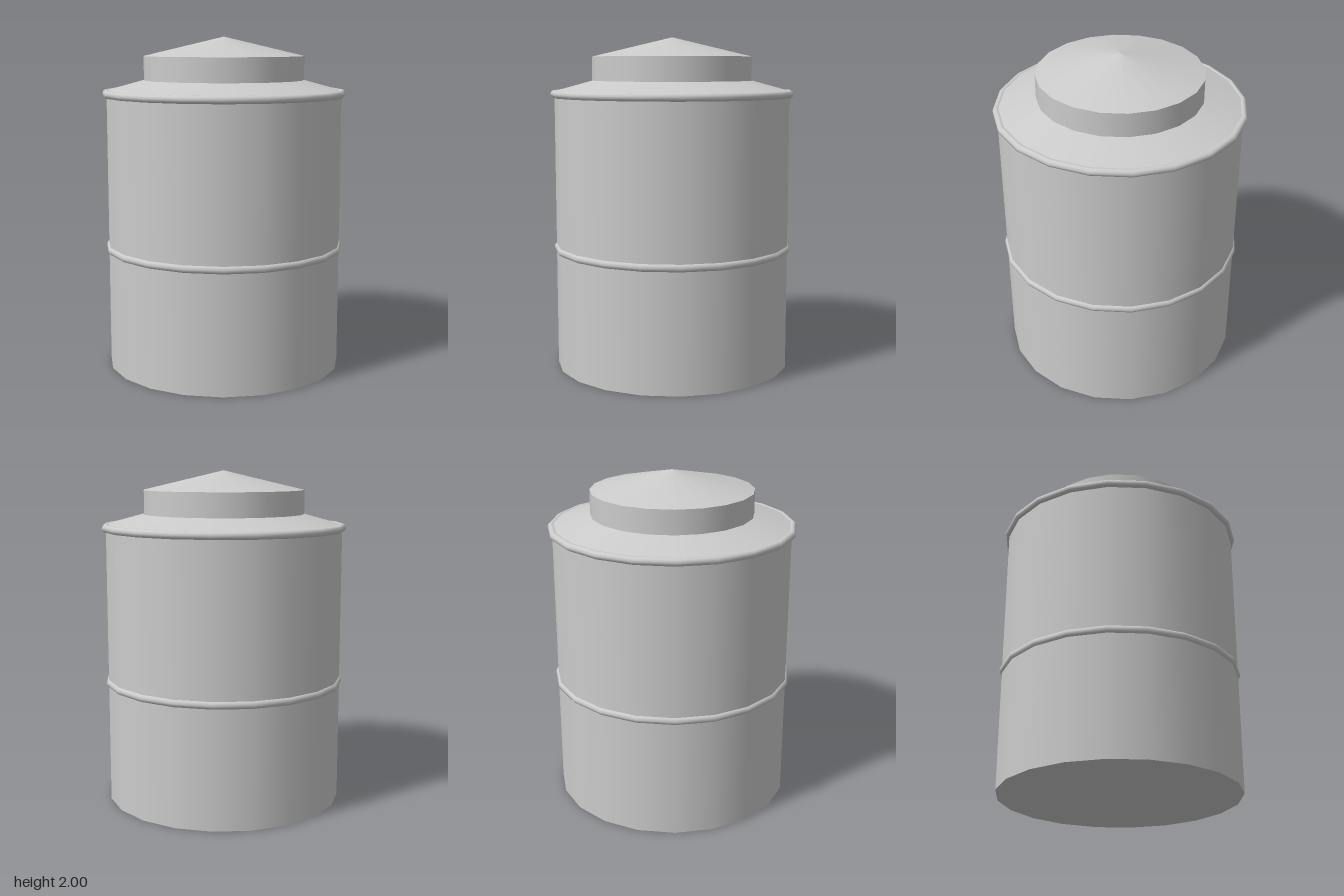
import * as THREE from 'three';

const SIDES = 20;

export function createModel() {
  const group = new THREE.Group();
  const material = new THREE.MeshStandardMaterial({ color: 0xcccccc });

  const add = (name, geometry, y) => {
    const mesh = new THREE.Mesh(geometry, material);
    mesh.name = name;
    mesh.position.y = y;
    group.add(mesh);
  };

  // Capped, tapered drum standing between two heights
  const drum = (name, rBottom, rTop, y0, y1) =>
    add(name, new THREE.CylinderGeometry(rTop, rBottom, y1 - y0, SIDES), (y0 + y1) / 2);

  // Rounded hoop around the tank
  const hoop = (name, radius, tube, y) =>
    add(name, new THREE.TorusGeometry(radius, tube, 10, SIDES).rotateX(Math.PI / 2), y);

  // Tank wall with its middle band and top rim
  drum('tankBody', 0.712, 0.712, 0, 1.67);
  hoop('middleBand', 0.701, 0.025, 0.73);
  hoop('topRim', 0.713, 0.023, 1.663);

  // Sloping shoulder, hatch collar and pointed lid
  drum('shoulder', 0.722, 0.484, 1.677, 1.742);
  drum('hatchCollar', 0.484, 0.484, 1.72, 1.885);
  add('hatchLid', new THREE.ConeGeometry(0.484, 0.115, SIDES), 1.885 + 0.115 / 2);

  return group;
}
